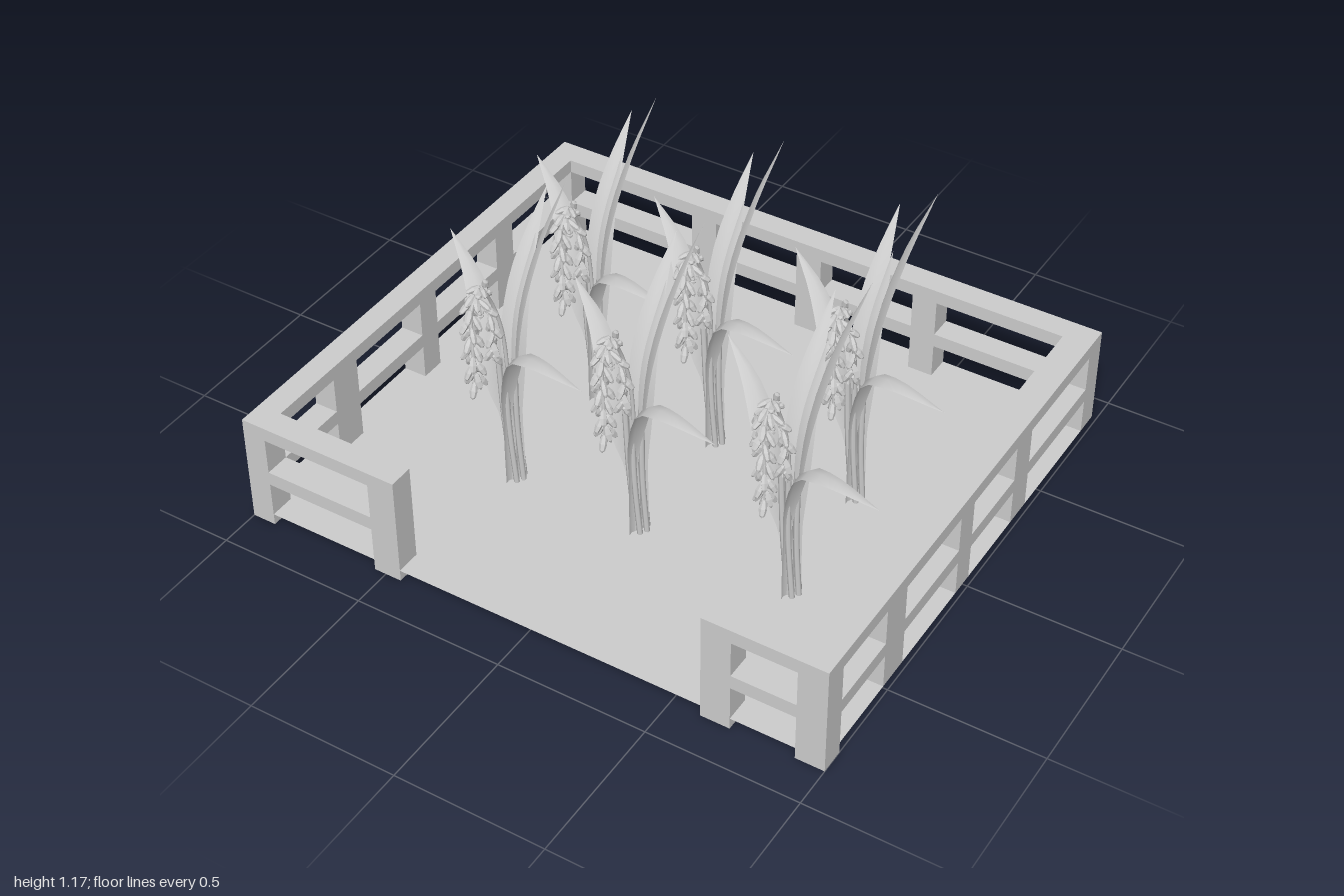
import * as THREE from 'three';
import { mergeGeometries } from 'three/addons/utils/BufferGeometryUtils.js';

const grey = new THREE.MeshStandardMaterial({ color: 0xcccccc });
const thin = new THREE.MeshStandardMaterial({ color: 0xcccccc, side: THREE.DoubleSide });
const faceted = new THREE.MeshStandardMaterial({ color: 0xcccccc, flatShading: true });

const curveOf = (pts) => new THREE.CatmullRomCurve3(pts.map((p) => new THREE.Vector3(...p)));

function mesh(name, geometry, material) {
  const m = new THREE.Mesh(geometry, material);
  m.name = name;
  return m;
}

// Box given by its bounds
function block(parent, name, x0, x1, y0, y1, z0, z1) {
  const m = mesh(name, new THREE.BoxGeometry(x1 - x0, y1 - y0, z1 - z0), grey);
  m.position.set((x0 + x1) / 2, (y0 + y1) / 2, (z0 + z1) / 2);
  parent.add(m);
}

// Tapering leaf with a shallow V section, its width lying across its heading
function blade(pts, width, steps = 16) {
  const curve = curveOf(pts);
  const a = pts[0], b = pts[pts.length - 1];
  const side = new THREE.Vector3(b[2] - a[2], 0, a[0] - b[0]).normalize();
  const pos = [], index = [];
  for (let i = 0; i <= steps; i++) {
    const t = i / steps;
    const p = curve.getPointAt(t), tan = curve.getTangentAt(t);
    const up = new THREE.Vector3().crossVectors(side, tan).normalize();
    const swell = Math.max(0, Math.sin(Math.PI * (t - 0.3) / 0.7));
    const w = t < 0.3 ? 0.014 : 0.014 * (1 - t) / 0.7 + width / 2 * swell;
    for (const s of [-1, 0, 1]) {
      const q = p.clone().addScaledVector(side, s * w).addScaledVector(up, Math.abs(s) * w * 0.3);
      pos.push(q.x, q.y, q.z);
    }
    if (i < steps) for (const k of [0, 1]) {
      const n = i * 3 + k;
      index.push(n, n + 1, n + 3, n + 1, n + 4, n + 3);
    }
  }
  const g = new THREE.BufferGeometry();
  g.setAttribute('position', new THREE.Float32BufferAttribute(pos, 3));
  g.setIndex(index);
  g.computeVertexNormals();
  return g;
}

// Pointed grains in a spiral along a curve
function grainsAlong(curve, from, count, radius) {
  const list = [], up = new THREE.Vector3(0, 1, 0);
  for (let i = 0; i < count; i++) {
    const t = from + (1 - from) * i / (count - 1);
    const p = curve.getPointAt(t), tan = curve.getTangentAt(t);
    const a = i * 2.4;
    const out = new THREE.Vector3(Math.cos(a), 0.25 * Math.sin(a * 1.7), Math.sin(a));
    const dir = tan.clone().addScaledVector(out, 0.6).normalize();
    const g = new THREE.SphereGeometry(1, 6, 4);
    g.scale(0.012, 0.027, 0.01);
    g.applyQuaternion(new THREE.Quaternion().setFromUnitVectors(up, dir));
    p.addScaledVector(out, radius);
    g.translate(p.x, p.y, p.z);
    list.push(g);
  }
  return list;
}

// Geometry of one plant, shared by all plants
function plantParts() {
  const leaves = [
    [[[0.02, 0.02, 0.01], [-0.01, 0.2, 0.0], [-0.06, 0.38, -0.01], [-0.12, 0.55, -0.06], [-0.21, 0.67, -0.12], [-0.32, 0.755, -0.17]], 0.07],
    [[[0.0, 0.01, 0.03], [0, 0.25, 0.03], [0.01, 0.42, 0.03], [0.06, 0.565, 0.045], [0.15, 0.605, 0.075], [0.34, 0.6, 0.115]], 0.06],
    [[[0.01, 0.03, -0.02], [-0.01, 0.3, -0.02], [-0.02, 0.5, -0.03], [-0.03, 0.72, -0.11], [-0.035, 0.86, -0.205], [-0.04, 0.95, -0.29]], 0.06],
    [[[0.01, 0.03, 0], [0.01, 0.4, -0.01], [0.035, 0.7, -0.02], [0.09, 0.95, -0.06], [0.165, 1.17, -0.11]], 0.055],
    [[[0.02, 0.03, -0.01], [0.015, 0.4, -0.015], [0.018, 0.65, -0.04], [0.025, 0.9, -0.13]], 0.04],
  ].map(([pts, w]) => blade(pts, w));

  // Nodding seed head with two side sprays
  const stalk = curveOf([[0.01, 0.02, -0.01], [-0.01, 0.35, -0.01], [-0.02, 0.6, 0], [-0.03, 0.74, 0.04],
    [-0.02, 0.815, 0.1], [0, 0.79, 0.17], [0.02, 0.68, 0.2], [0.03, 0.54, 0.205]]);
  const sprays = [
    curveOf([[-0.02, 0.8, 0.08], [-0.045, 0.77, 0.1], [-0.05, 0.66, 0.11]]),
    curveOf([[-0.01, 0.81, 0.13], [0.045, 0.76, 0.14], [0.055, 0.62, 0.15]]),
  ];
  const grains = [...grainsAlong(stalk, 0.68, 34, 0.02),
    ...sprays.flatMap((c) => grainsAlong(c, 0.1, 11, 0.012))];

  // Sheathed stems, spreading a little towards the top
  const stems = [new THREE.TubeGeometry(stalk, 40, 0.006, 6),
    ...sprays.map((c) => new THREE.TubeGeometry(c, 8, 0.003, 5))];
  for (let i = 0; i < 5; i++) {
    const a = i * Math.PI * 0.4, c = Math.cos(a), s = Math.sin(a);
    stems.push(new THREE.TubeGeometry(curveOf([[0.02 + c * 0.016, 0.015, s * 0.022],
      [c * 0.02, 0.25, s * 0.024], [-0.01 + c * 0.026, 0.48, -0.005 + s * 0.026]]), 8, 0.009, 6));
  }
  return { leaves, grains: mergeGeometries(grains), stems: mergeGeometries(stems) };
}

export function createModel() {
  const model = new THREE.Group();

  const floor = mesh('floor', new THREE.PlaneGeometry(2, 1.73).rotateX(-Math.PI / 2), thin);
  floor.position.y = 0.04;
  model.add(floor);

  // Fence: top and middle rails, with a gateway at the front
  const fence = new THREE.Group();
  fence.name = 'fence';
  model.add(fence);
  const T = 0.865, L = -0.92, R = 0.905, Z = 0.782;
  for (const [name, y0, y1] of [['topRail', 0.333, 0.38], ['middleRail', 0.16, 0.208]]) {
    block(fence, name + 'Back', -1, 1, y0, y1, -T, -Z);
    block(fence, name + 'Right', -1, L, y0, y1, -Z, Z);
    block(fence, name + 'Left', R, 1, y0, y1, -Z, Z);
    block(fence, name + 'FrontRight', -1, -0.445, y0, y1, Z, T);
    block(fence, name + 'FrontLeft', 0.598, 1, y0, y1, Z, T);
  }

  // Posts: front ones reach below the floor
  for (const [x0, x1] of [[-1, L], [-0.54, -0.445], [0.598, 0.695], [R, 1]])
    block(fence, 'frontPost', x0, x1, 0, 0.335, Z, T);
  for (const [x0, x1] of [[-1, L], [-0.44, -0.347], [-0.04, 0.05], [0.385, 0.47], [R, 1]])
    block(fence, 'backPost', x0, x1, 0.04, 0.335, -T, -Z);
  for (const [z0, z1] of [[0.415, 0.53], [0, 0.083], [-0.38, -0.28]])
    block(fence, 'leftPost', R, 1, 0.04, 0.335, z0, z1);
  for (const [z0, z1] of [[0.415, 0.53], [0, 0.083], [-0.43, -0.335]])
    block(fence, 'rightPost', -1, L, 0.04, 0.335, z0, z1);

  // Two rows of three plants
  const parts = plantParts();
  for (const [x, z] of [[-0.4, -0.135], [0.035, -0.135], [0.535, -0.135], [-0.4, 0.33], [0.05, 0.33], [0.577, 0.33]]) {
    const plant = new THREE.Group();
    plant.name = 'plant';
    plant.add(mesh('stems', parts.stems, grey), mesh('grains', parts.grains, faceted));
    parts.leaves.forEach((g) => plant.add(mesh('leaf', g, thin)));
    plant.position.set(x, 0, z);
    model.add(plant);
  }
  return model;
}
